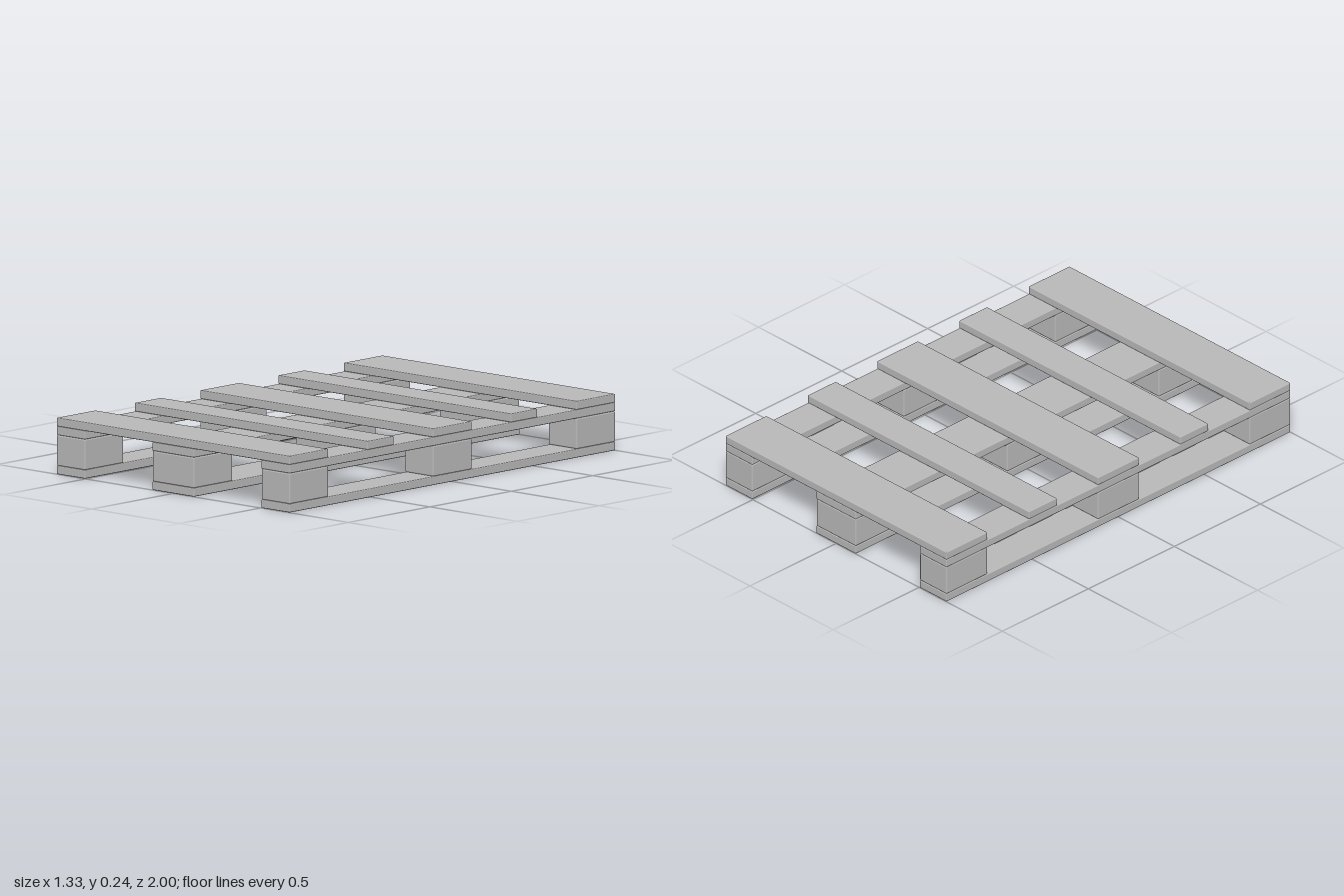
import * as THREE from 'three';
import { RoundedBoxGeometry } from 'three/addons/geometries/RoundedBoxGeometry.js';

export function createModel() {
  const pallet = new THREE.Group();
  pallet.name = 'pallet';
  const grey = new THREE.MeshStandardMaterial({ color: 0xb8b8b8 });
  grey.name = 'plain grey';

  const board = 0.0367;   // board thickness
  const block = 0.13;     // block height
  const wide = 0.238, narrow = 0.162, width = 1.33, length = 2;

  // Softly eased timber, placed by its underside
  function timber(name, w, h, d, x, y, z, radius = 0.004) {
    const mesh = new THREE.Mesh(new RoundedBoxGeometry(w, h, d, 2, radius), grey);
    mesh.name = name;
    mesh.position.set(x, y + h / 2, z);
    pallet.add(mesh);
  }

  // Three runners: bottom board, three blocks, stringer board
  const sideX = (width - narrow) / 2;
  const endZ = (length - wide) / 2;
  for (const [side, x, w] of [['right', -sideX, narrow], ['middle', 0, wide], ['left', sideX, narrow]]) {
    timber(`${side}BottomBoard`, w, board, length, x, 0, 0);
    for (const [place, z] of [['Back', -endZ], ['Centre', 0], ['Front', endZ]]) {
      timber(`${side}${place}Block`, w, block, wide, x, board, z, 0.006);
    }
    timber(`${side}StringerBoard`, w, board, length, x, board + block, 0);
  }

  // Deck: wide boards over the blocks, narrow boards between them
  [-endZ, -0.44, 0, 0.44, endZ].forEach((z, i) => {
    timber(`deckBoard${i + 1}`, width, board, i % 2 ? narrow : wide, 0, 2 * board + block, z);
  });

  return pallet;
}
